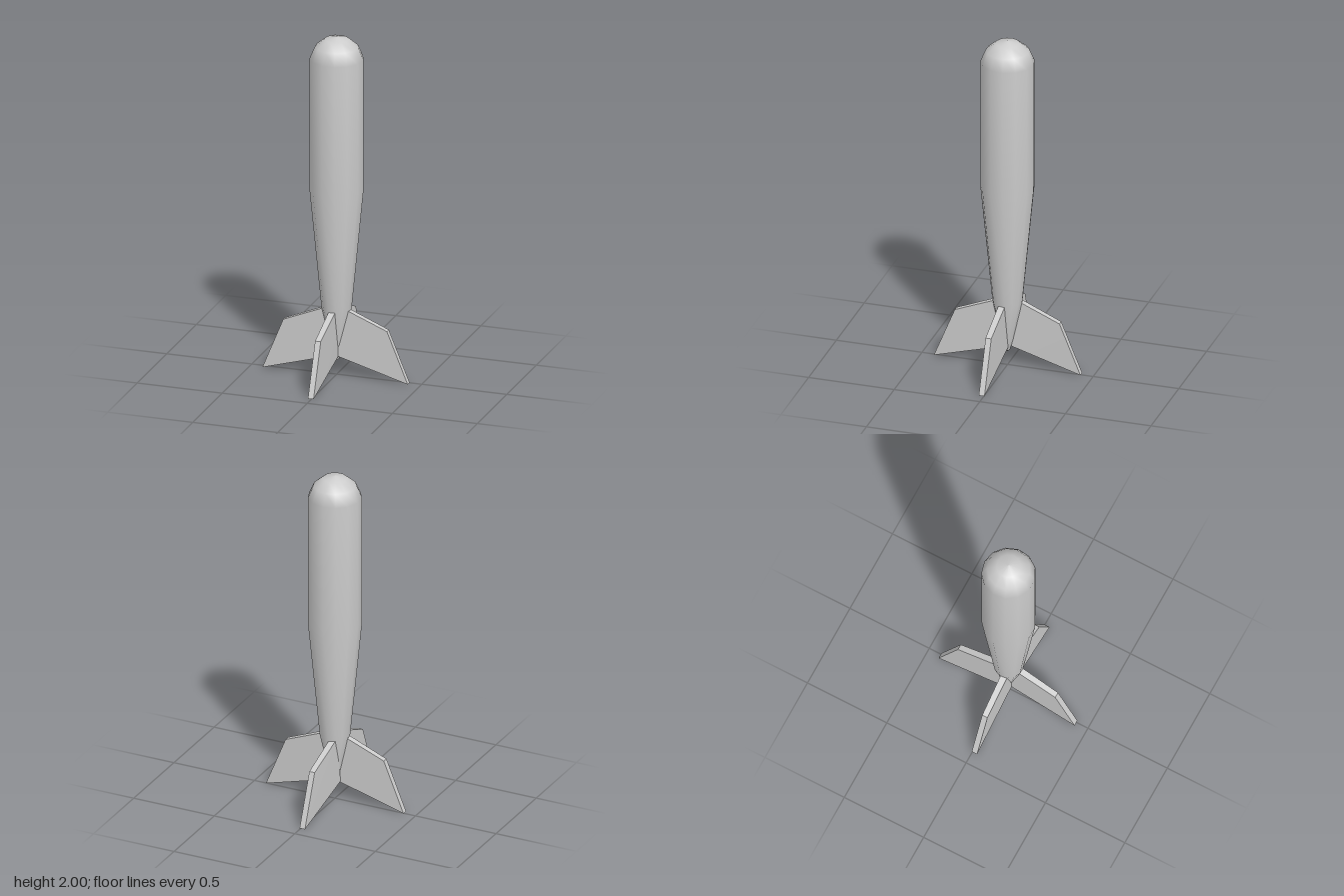
import * as THREE from 'three';

const material = new THREE.MeshStandardMaterial({ color: 0xcccccc });

// Thirteen-sided smooth body: pointed tail, taper, straight barrel, domed nose
function makeBody() {
  const profile = [
    [0, 0.085], [0.014, 0.095], [0.032, 0.16], [0.085, 0.4],
    [0.152, 1.1], [0.152, 1.87], [0.122, 1.94], [0.068, 1.985], [0, 2],
  ].map(([r, y]) => new THREE.Vector2(r, y));
  const body = new THREE.Mesh(new THREE.LatheGeometry(profile, 13, Math.PI), material);
  body.name = 'body';
  return body;
}

// Swept fin along +x: a box whose corners are moved to the fin outline.
// rootShift and tipShift slide each end sideways.
function makeFin(rootShift, tipShift) {
  const geo = new THREE.BoxGeometry(1, 1, 1);
  const pos = geo.attributes.position;
  for (let i = 0; i < pos.count; i++) {
    const outer = pos.getX(i) > 0;
    const upper = pos.getY(i) > 0;
    const side = Math.sign(pos.getZ(i));
    const [r, y] = outer
      ? (upper ? [0.305, 0.3] : [0.427, 0.002])
      : (upper ? [0.05, 0.404] : [0.01, 0.121]);
    const z = outer ? tipShift + side * 0.0165 : rootShift + side * 0.019;
    pos.setXYZ(i, r, y, z);
  }
  geo.computeVertexNormals();
  return new THREE.Mesh(geo, material);
}

export function createModel() {
  const model = new THREE.Group();
  model.name = 'finnedProjectile';
  model.add(makeBody());

  // Four tail fins a quarter turn apart, each slightly off the centre line
  const fins = [
    ['leftFin', 0.01, 0.013],
    ['backFin', -0.021, -0.01],
    ['rightFin', -0.011, -0.013],
    ['frontFin', 0.002, 0.005],
  ];
  fins.forEach(([name, rootShift, tipShift], i) => {
    const fin = makeFin(rootShift, tipShift);
    fin.name = name;
    fin.rotation.y = (i * Math.PI) / 2;
    model.add(fin);
  });
  return model;
}
